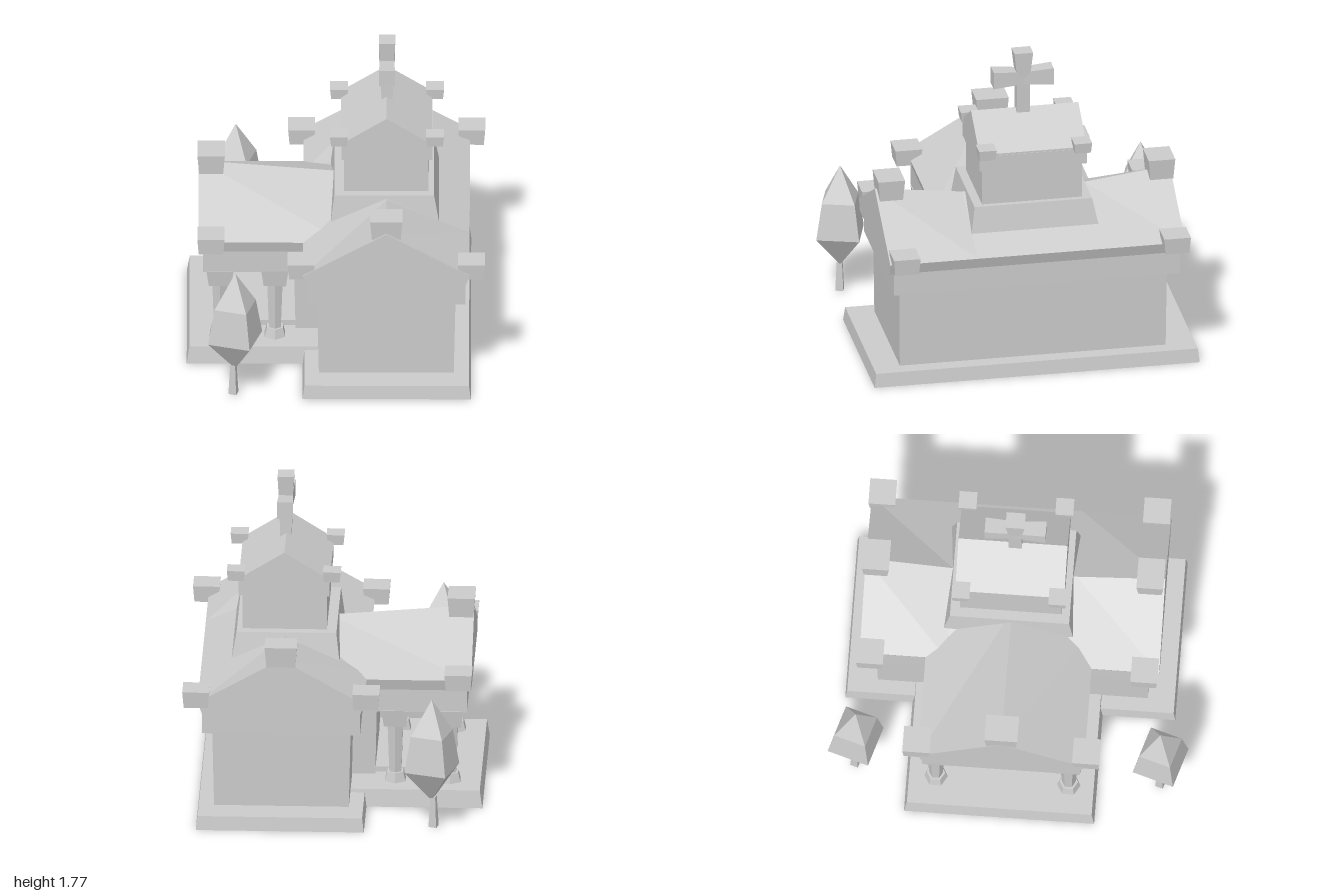
import * as THREE from 'three';

export function createModel() {
  const model = new THREE.Group();
  const mat = new THREE.MeshStandardMaterial({ color: 0xcccccc, flatShading: true, side: THREE.DoubleSide });
  const CX = 0.28, CZ = -0.025; // axes of the hall and of the porch

  function add(geo, name, x = 0, y = 0, z = 0) {
    const mesh = new THREE.Mesh(geo, mat);
    mesh.name = name;
    mesh.position.set(x, y, z);
    model.add(mesh);
    return mesh;
  }

  // Box with different bottom and top rectangles [x0, x1, z0, z1]
  function block(name, y0, y1, bottom, top = bottom, openBottom = false) {
    const geo = new THREE.BoxGeometry(1, 1, 1);
    const p = geo.attributes.position;
    for (let i = 0; i < p.count; i++) {
      const up = p.getY(i) > 0, r = up ? top : bottom;
      p.setXYZ(i, p.getX(i) < 0 ? r[0] : r[1], up ? y1 : y0, p.getZ(i) < 0 ? r[2] : r[3]);
    }
    if (openBottom) {
      const index = Array.from(geo.index.array);
      index.splice(18, 6);
      geo.clearGroups();
      geo.setIndex(index);
    }
    return add(geo, name);
  }

  const rect = (x, z, hx, hz = hx) => [x - hx, x + hx, z - hz, z + hz];

  // Gabled prism along z: sections are [position, ridge height]
  function gable(name, wallY, wallHalf, eaveY, eaveHalf, sections) {
    const rings = sections.map(([t, ridge]) => [
      [-wallHalf, wallY, t], [wallHalf, wallY, t], [eaveHalf, eaveY, t], [0, ridge, t], [-eaveHalf, eaveY, t],
    ]);
    const v = [];
    const tri = (a, b, c) => v.push(...a, ...b, ...c);
    for (let s = 0; s < rings.length - 1; s++) {
      for (let i = 0; i < 5; i++) {
        const j = (i + 1) % 5, A = rings[s], B = rings[s + 1];
        tri(A[i], A[j], B[j]);
        tri(A[i], B[j], B[i]);
      }
    }
    const first = rings[0], last = rings[rings.length - 1];
    for (let i = 1; i < 4; i++) {
      tri(last[0], last[i], last[i + 1]);
      tri(first[0], first[i + 1], first[i]);
    }
    const geo = new THREE.BufferGeometry();
    geo.setAttribute('position', new THREE.Float32BufferAttribute(v, 3));
    geo.computeVertexNormals();
    return add(geo, name);
  }

  // Flared roof ornament
  function ornament(x, z, y0, y1, half, taper) {
    block('roofOrnament', y0, y1, rect(x, z, half - taper), rect(x, z, half));
  }

  // Main hall
  block('hallBase', 0, 0.08, [-0.185, 0.75, -0.935, 0.905], [-0.175, 0.74, -0.925, 0.895], true);
  block('hallWalls', 0.08, 0.54, [-0.095, 0.655, -0.76, 0.745], [-0.105, 0.665, -0.765, 0.75]);
  block('hallCornice', 0.54, 0.67, [-0.16, 0.72, -0.83, 0.79]);
  gable('hallRoof', 0.67, 0.44, 0.735, 0.463,
    [[-0.855, 1.0], [-0.37, 0.94], [0.32, 0.94], [0.815, 1.0]]).position.x = CX;
  for (const z of [-0.795, 0.735]) {
    for (const side of [-1, 1]) ornament(CX + side * 0.473, z, 0.705, 0.8, 0.075, 0.008);
    block('ridgeOrnament', 0.955, 1.075, rect(CX, z, 0.08, 0.065), rect(CX, z, 0.09, 0.075));
  }

  // Tower
  block('towerSkirt', 0.79, 0.96, [-0.03, 0.575, -0.4, 0.325], [-0.01, 0.545, -0.365, 0.3]);
  block('towerWalls', 0.96, 1.17, [0.045, 0.515, -0.312, 0.252]);
  block('towerCornice', 1.17, 1.26, [0.03, 0.535, -0.338, 0.27]);
  gable('towerRoof', 1.25, 0.2525, 1.27, 0.2525, [[-0.338, 1.43], [0.27, 1.43]]).position.x = CX;
  for (const z of [-0.305, 0.235])
    for (const side of [-1, 1]) ornament(CX + 0.003 + side * 0.267, z, 1.26, 1.32, 0.05, 0.006);

  // Cross with flared arms
  const crossZ = -0.02, crossY = 1.62;
  const lower = crossY - 1.41;
  for (const [name, angle, length, endX, endZ] of [
    ['crossTop', 0, 0.155, 0.046, 0.053], ['crossFoot', Math.PI, lower, 0.031, 0.038],
    ['crossArm', Math.PI / 2, 0.17, 0.045, 0.05], ['crossArm', -Math.PI / 2, 0.17, 0.045, 0.05]]) {
    const arm = block(name, 0, length, rect(0, 0, 0.038, 0.036), rect(0, 0, endX, endZ));
    arm.position.set(CX + 0.003, crossY, crossZ);
    arm.rotation.x = angle;
  }

  // Open porch
  block('porchBase', 0, 0.1, [-0.83, -0.1, -0.56, 0.5], [-0.815, -0.1, -0.545, 0.485], true);
  block('porchFloorSlab', 0.1, 0.13, [-0.44, -0.09, -0.29, 0.24]);
  block('porchEndWall', 0.1, 0.535, [-0.225, 0, CZ - 0.3, CZ + 0.3], [-0.235, 0, CZ - 0.31, CZ + 0.31]);
  block('porchCornice', 0.535, 0.67, [-0.74, -0.1, CZ - 0.44, CZ + 0.44]);
  const porchRoof = gable('porchRoof', 0.67, 0.445, 0.735, 0.463, [[-0.765, 1.0], [0.05, 0.93]]);
  porchRoof.rotation.y = Math.PI / 2;
  porchRoof.position.z = CZ;
  for (const side of [-1, 1]) ornament(-0.695, CZ + side * 0.473, 0.705, 0.8, 0.076, 0.008);
  block('ridgeOrnament', 0.96, 1.075, rect(-0.695, CZ, 0.067, 0.082), rect(-0.695, CZ, 0.076, 0.092));

  // Six-sided columns with foot and square capital
  for (const x of [-0.34, -0.645]) {
    for (const side of [-1, 1]) {
      const z = CZ + side * 0.37;
      add(new THREE.CylinderGeometry(0.052, 0.066, 0.055, 6), 'columnFoot', x, 0.1275, z);
      add(new THREE.CylinderGeometry(0.05, 0.038, 0.3, 6), 'columnShaft', x, 0.295, z);
      block('columnCapital', 0.44, 0.54, rect(x, z, 0.062), rect(x, z, 0.075));
    }
  }

  // Four-sided trees
  const crown = [[0, 0.165], [0.17, 0.36], [0.13, 0.57], [0, 0.77]].map(([r, y]) => new THREE.Vector2(r, y));
  for (const z of [-0.85, 0.85]) {
    add(new THREE.LatheGeometry(crown, 4), 'treeCrown', -0.56, 0, z).rotation.y = 0.49;
    add(new THREE.CylinderGeometry(0.02, 0.032, 0.18, 4), 'treeTrunk', -0.57, 0.1, z).rotation.y = 0.49;
  }

  return model;
}
